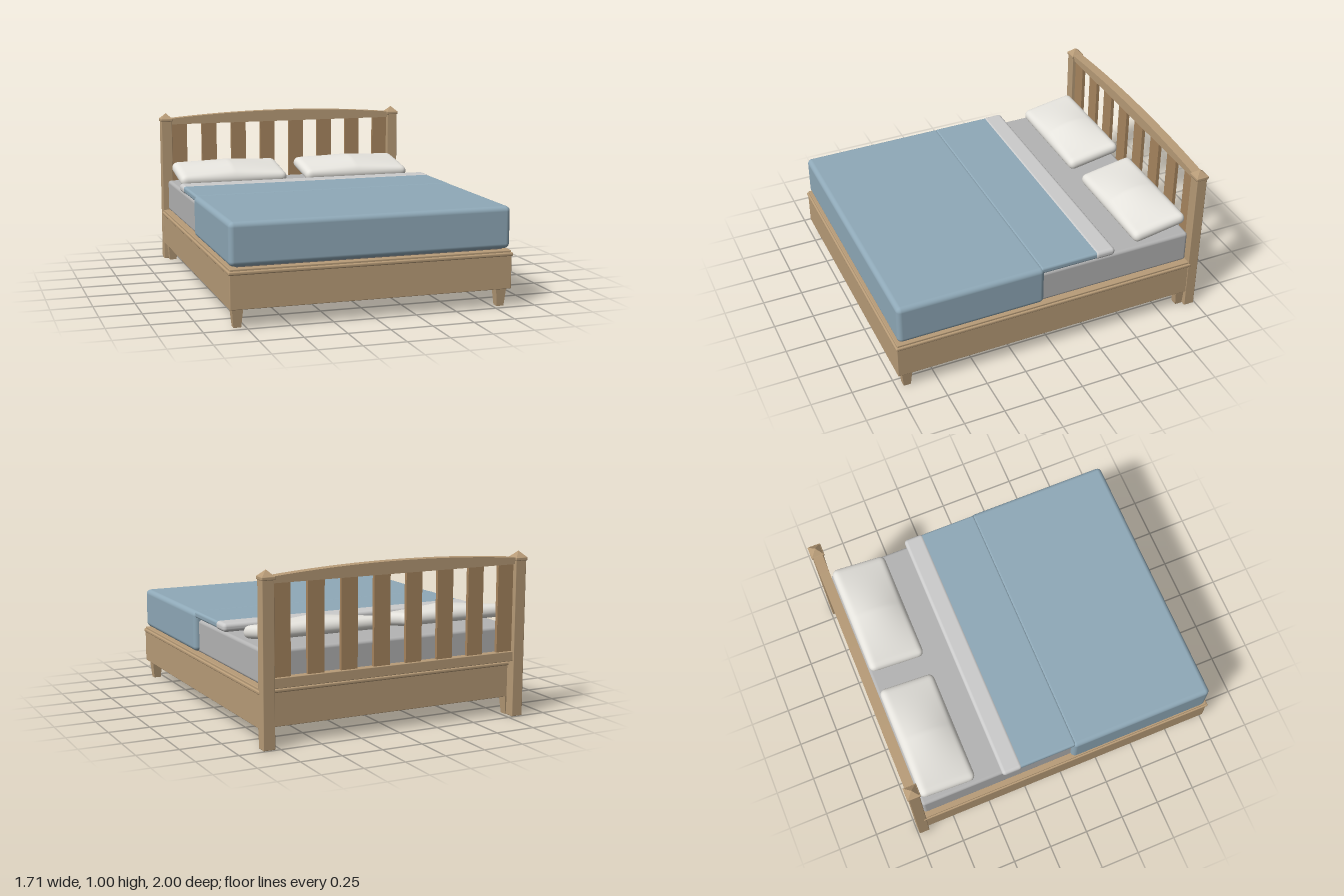
import * as THREE from 'three';
import { RoundedBoxGeometry } from 'three/addons/geometries/RoundedBoxGeometry.js';
import { mergeVertices } from 'three/addons/utils/BufferGeometryUtils.js';

const mat = (color, flatShading = false) => new THREE.MeshStandardMaterial({ color, flatShading });
const wood = mat(0xb89c78);
const woodFlat = mat(0xb89c78, true);
const slatWood = mat(0xa8865f);
const blue = mat(0x8fa9b8);
const sheet = mat(0xb4b4b4);
const foldWhite = mat(0xcccccc);
const linen = mat(0xe6e4de);

export function createModel() {
  const bed = new THREE.Group();
  bed.name = 'bed';

  const add = (name, geometry, material, x = 0, y = 0, z = 0) => {
    const mesh = new THREE.Mesh(geometry, material);
    mesh.name = name;
    mesh.position.set(x, y, z);
    bed.add(mesh);
    return mesh;
  };

  // Box given by its limits, with rounded edges of radius r
  const block = (name, material, [x0, x1], [y0, y1], [z0, z1], r = 0.004, segments = 2) =>
    add(name, new RoundedBoxGeometry(x1 - x0, y1 - y0, z1 - z0, segments, r), material,
      (x0 + x1) / 2, (y0 + y1) / 2, (z0 + z1) / 2);

  // Square tapered prism: top and bottom widths
  const taper = (name, top, bottom, height, x, y, z) => {
    const g = new THREE.CylinderGeometry(top * Math.SQRT1_2, bottom * Math.SQRT1_2, height, 4);
    g.rotateY(Math.PI / 4);
    return add(name, g, woodFlat, x, y, z);
  };

  // Bed base with a stepped trim around its upper edge
  block('base', wood, [-0.848, 0.848], [0.11, 0.312], [-0.93, 0.994]);
  block('baseTrim', wood, [-0.856, 0.856], [0.306, 0.328], [-0.943, 1], 0.008, 3);
  block('baseLedge', wood, [-0.846, 0.846], [0.322, 0.34], [-0.935, 0.99]);

  // Posts with pyramid caps, and tapered feet
  for (const side of [-1, 1]) {
    const px = side * 0.815;
    block('headPost', wood, [px - 0.036, px + 0.036], [0, 0.95], [-0.992, -0.924]);
    block('postCap', wood, [px - 0.041, px + 0.041], [0.945, 0.966], [-1, -0.918], 0.005);
    taper('postFinial', 0.002, 0.076, 0.036, px, 0.982, -0.959);
    taper('frontFoot', 0.066, 0.044, 0.114, side * 0.798, 0.057, 0.933);
    taper('rearFoot', 0.066, 0.044, 0.114, side * 0.798, 0.057, -0.9);
  }

  // Arched beam: bottom and top heights at the ends and in the middle
  const arch = (name, half, bottomEnd, bottomMid, topEnd, topMid, zBack, depth) => {
    const s = new THREE.Shape();
    s.moveTo(-half, bottomEnd);
    s.quadraticCurveTo(0, 2 * bottomMid - bottomEnd, half, bottomEnd);
    s.lineTo(half, topEnd);
    s.quadraticCurveTo(0, 2 * topMid - topEnd, -half, topEnd);
    const g = new THREE.ExtrudeGeometry(s, { depth, bevelEnabled: false, curveSegments: 24 });
    add(name, g, wood, 0, 0, zBack);
  };
  arch('topRail', 0.785, 0.925, 0.925, 0.95, 0.985, -0.98, 0.045);
  arch('topRailCap', 0.785, 0.943, 0.978, 0.964, 1, -0.99, 0.06);

  // Lower rail and slats of the headboard
  block('lowerRail', wood, [-0.785, 0.785], [0.34, 0.4], [-0.982, -0.934]);
  for (let i = 0; i < 8; i++) {
    add('slat', new THREE.BoxGeometry(0.103, 0.56, 0.022), slatWood, (i - 3.5) * 0.207, 0.66, -0.957);
  }

  // Mattress and covers
  block('mattress', sheet, [-0.815, 0.815], [0.34, 0.545], [-0.922, 0.96], 0.02, 4);
  block('duvet', blue, [-0.845, 0.845], [0.348, 0.599], [0.058, 0.98], 0.03, 5);
  block('duvetFold', blue, [-0.835, 0.835], [0.558, 0.6], [-0.3, 0.08], 0.015, 4);
  block('sheetFold', foldWhite, [-0.84, 0.84], [0.553, 0.604], [-0.405, -0.275], 0.022, 5);

  // Pillow: finely divided box, rounded off and swollen towards the middle of its top
  const pillowGeometry = (w, h, d, r, swell) => {
    const g = new THREE.BoxGeometry(w, h, d, 48, 8, 28);
    const p = g.attributes.position;
    const v = new THREE.Vector3();
    const core = new THREE.Vector3();
    const inner = new THREE.Vector3(w / 2 - r, h / 2 - r, d / 2 - r);
    for (let i = 0; i < p.count; i++) {
      v.fromBufferAttribute(p, i);
      core.copy(v).clamp(inner.clone().negate(), inner);
      v.sub(core).normalize().multiplyScalar(r).add(core);
      const fx = 1 - Math.abs(v.x) / (w / 2);
      const fz = 1 - (2 * v.z / d) ** 2;
      v.y += swell * Math.max(0, v.y / (h / 2)) * fx * Math.max(0, fz);
      p.setXYZ(i, v.x, v.y, v.z);
    }
    g.deleteAttribute('normal');
    g.deleteAttribute('uv');
    const merged = mergeVertices(g, 1e-5);
    merged.computeVertexNormals();
    return merged;
  };
  const pillow = pillowGeometry(0.725, 0.075, 0.355, 0.036, 0.038);
  for (const side of [-1, 1]) {
    add('pillow', pillow, linen, side * 0.43, 0.61, -0.738).rotation.x = 0.17;
  }

  return bed;
}
